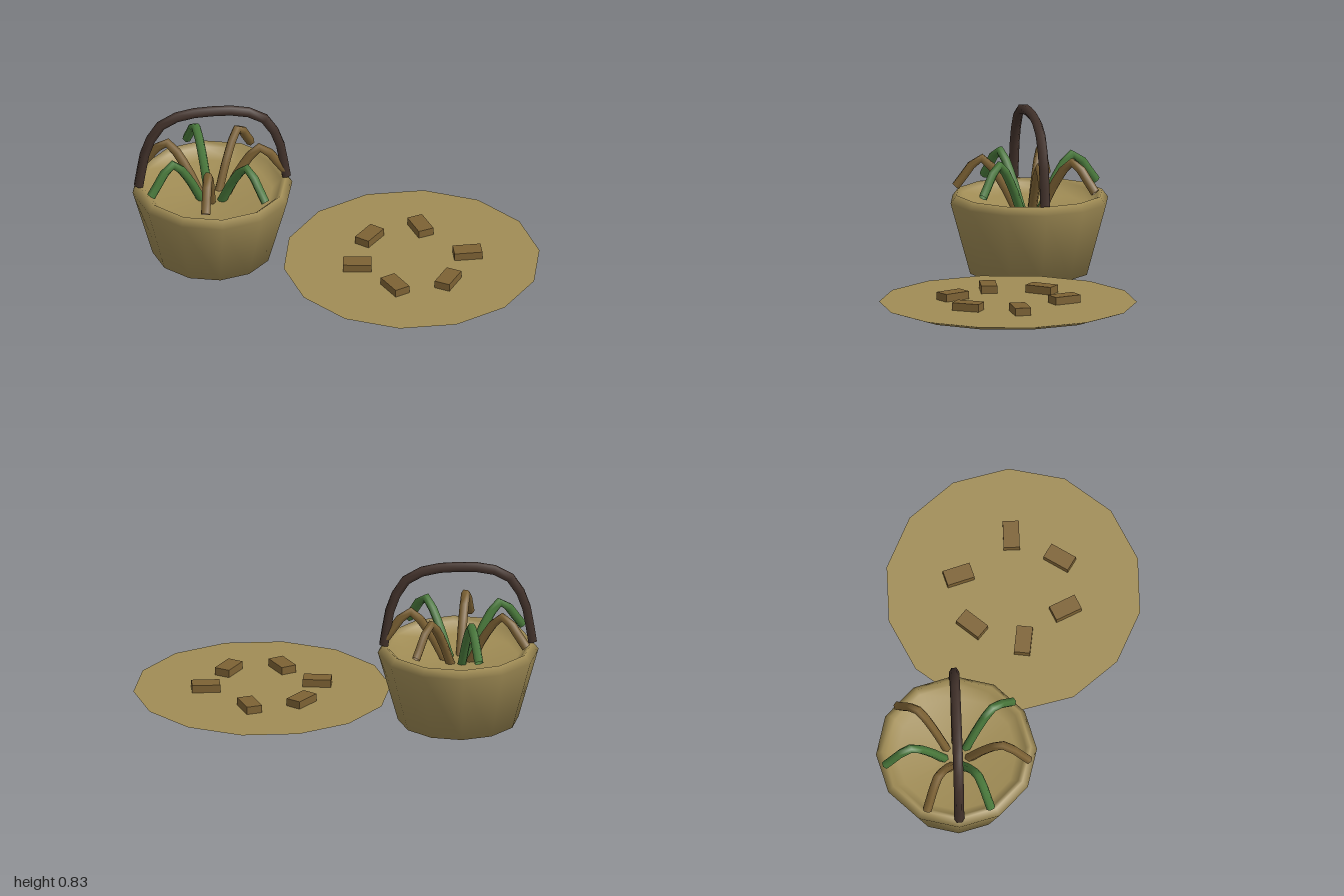
import * as THREE from 'three';

const mat = (name, color, side = THREE.FrontSide) => {
  const m = new THREE.MeshStandardMaterial({ color, side });
  m.name = name;
  return m;
};

const add = (parent, name, geometry, material) => {
  const mesh = new THREE.Mesh(geometry, material);
  mesh.name = name;
  parent.add(mesh);
  return mesh;
};

const lathe = (points, sides) =>
  new THREE.LatheGeometry(points.map(([r, y]) => new THREE.Vector2(r, y)), sides);

// Round rod along a smooth curve through [x, y] points
const rod = (points, radius, steps, sides) => new THREE.TubeGeometry(
  new THREE.CatmullRomCurve3(points.map(([x, y]) => new THREE.Vector3(x, y, 0))),
  steps, radius, sides);

export function createModel() {
  const straw = mat('straw', 0xa08c55);
  const darkWood = mat('darkWood', 0x42322b, THREE.DoubleSide);
  const green = mat('stemGreen', 0x4a7a3c, THREE.DoubleSide);
  const brown = mat('rootBrown', 0x7d6234, THREE.DoubleSide);

  const model = new THREE.Group();
  model.name = 'basketAndMat';

  // Basket with a turned-in rim and shallow hollow
  const basket = new THREE.Group();
  basket.name = 'basket';
  basket.position.set(-0.6, 0, -0.273);
  model.add(basket);
  add(basket, 'basketBody', lathe(
    [[0, 0], [0.3, 0], [0.4, 0.36], [0.37, 0.4], [0.345, 0.38], [0.3, 0.33], [0, 0.31]], 12), straw);

  // Arched handle, mirrored left and right
  const half = [[0.37, 0.4], [0.325, 0.63], [0.245, 0.755], [0.13, 0.797]];
  const arch = [...half, [0, 0.806], ...half.map(([x, y]) => [-x, y]).reverse()];
  add(basket, 'handle', rod(arch, 0.025, 14, 6), darkWood);

  // Ring of drooping stems, alternating in colour
  const stem = rod([[0.06, 0.3], [0.155, 0.48], [0.24, 0.573], [0.365, 0.43]], 0.023, 8, 6);
  for (let i = 0; i < 7; i++) {
    const s = add(basket, 'stem' + (i + 1), stem, i % 2 ? green : brown);
    s.rotation.y = -i * Math.PI * 2 / 7;
  }

  // Shallow round mat: sloping underside and flat top
  const mats = new THREE.Group();
  mats.name = 'mat';
  mats.position.set(0.355, 0, 0.045);
  model.add(mats);
  add(mats, 'matUnderside', lathe([[0, 0], [0.56, 0.028], [0.64, 0.055]], 14), straw)
    .rotation.y = Math.PI / 2;
  const top = add(mats, 'matTop', new THREE.CircleGeometry(0.64, 14), straw);
  top.rotation.x = -Math.PI / 2;
  top.position.y = 0.055;

  // Pieces laid in a ring on the mat, one radian apart
  const piece = new THREE.BoxGeometry(0.14, 0.04, 0.08);
  for (let i = 0; i < 6; i++) {
    const p = add(mats, 'piece' + (i + 1), piece, brown);
    p.position.set(Math.cos(i) * 0.28, 0.074, Math.sin(i) * 0.28);
    p.rotation.y = i;
  }
  return model;
}
